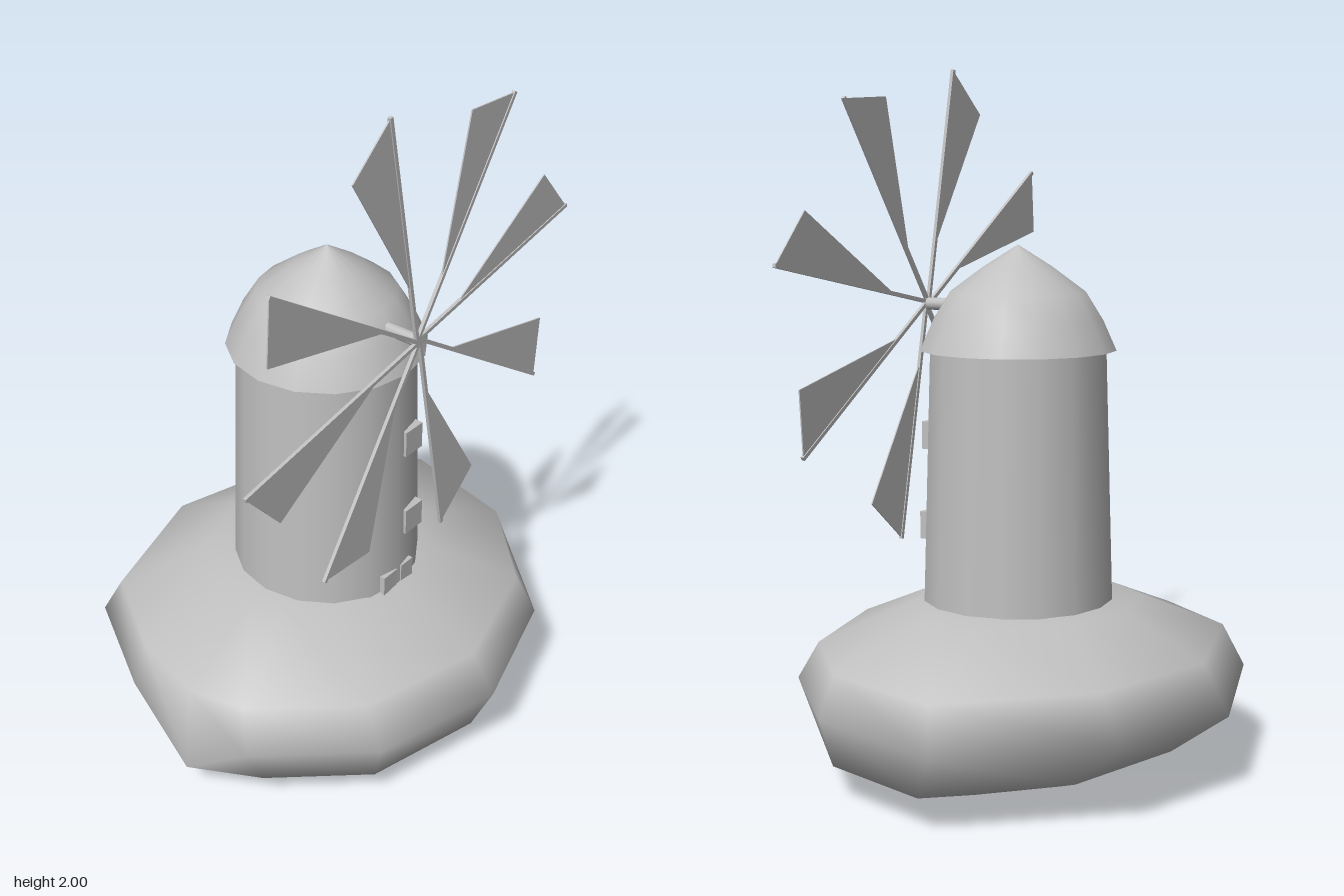
import * as THREE from 'three';

const CX = -0.012, CZ = 0.012; // axis of the tower
const HUB = new THREE.Vector3(-0.011, 1.322, 0.325);

// Boulder: one irregular outline, scaled into stacked rings
function boulderGeometry() {
  const outline = [ // x, y, z
    [0.69, 0.24, -0.163], [0.613, 0.25, 0.248], [0.372, 0.26, 0.519], [-0.01, 0.26, 0.637],
    [-0.39, 0.25, 0.53], [-0.63, 0.23, 0.244], [-0.68, 0.105, 0.056], [-0.624, 0.23, -0.204],
    [-0.461, 0.25, -0.5], [-0.05, 0.23, -0.645], [0.354, 0.24, -0.526],
  ];
  const rings = [ // scale x, offset x, scale z, offset z, height (null = outline height)
    [0.5, 0.0, 0.49, -0.02, 0.487],
    [0.95, 0.0, 0.88, 0.0, 0.37],
    [1, 0, 1, 0, null],
    [0.9, 0.0, 0.81, 0.05, 0.1],
    [0.54, -0.04, 0.46, 0.01, 0.012],
  ];
  const n = outline.length, pos = [], idx = [];
  for (const [sx, ox, sz, oz, h] of rings)
    for (const [x, y, z] of outline) {
      const low = h === 0.1 && y < 0.2 ? 0.07 : h;
      pos.push(x * sx + ox, h === null ? y : low, z * sz + oz);
    }
  const top = pos.length / 3, bottom = top + 1;
  pos.push(0, 0.5, 0, -0.04, 0, 0);
  const last = (rings.length - 1) * n;
  for (let i = 0; i < n; i++) {
    const j = (i + 1) % n;
    idx.push(top, j, i, bottom, last + i, last + j);
    for (let r = 0; r < rings.length - 1; r++) {
      const a = r * n + i, b = r * n + j, c = b + n, d = a + n;
      idx.push(a, b, d, b, c, d);
    }
  }
  const g = new THREE.BufferGeometry();
  g.setAttribute('position', new THREE.Float32BufferAttribute(pos, 3));
  g.setIndex(idx);
  g.computeVertexNormals();
  return g;
}

export function createModel() {
  const stone = new THREE.MeshStandardMaterial({ color: 0xc0c0c0 });
  stone.name = 'pale grey';
  const model = new THREE.Group();
  model.name = 'windmill';
  const add = (name, geometry, x = 0, y = 0, z = 0, parent = model) => {
    const mesh = new THREE.Mesh(geometry, stone);
    mesh.name = name;
    mesh.position.set(x, y, z);
    parent.add(mesh);
    return mesh;
  };

  add('boulder', boulderGeometry());

  // Tapered tower
  add('tower', new THREE.CylinderGeometry(0.252, 0.276, 0.8, 16), CX, 0.82, CZ);

  // Domed cap with a pointed top and a flat eave
  const profile = [[0.281, 1.205], [0.243, 1.29], [0.195, 1.367], [0.1, 1.437], [0, 1.5]];
  add('roof', new THREE.LatheGeometry(profile.map(([r, y]) => new THREE.Vector2(r, y)), 16), CX, 0, CZ);
  add('eave', new THREE.RingGeometry(0.24, 0.281, 16, 1).rotateX(Math.PI / 2), CX, 1.205, CZ);

  // Windows and door panels standing just proud of the wall
  const panels = [
    ['upperWindow', 0.055, 0.95, 0.072, 0.08, 0.275],
    ['lowerWindow', 0.055, 0.685, 0.074, 0.08, 0.283],
    ['doorPanelRight', -0.051, 0.5, 0.058, 0.085, 0.287],
    ['doorPanelLeft', 0.024, 0.5, 0.052, 0.085, 0.287],
  ];
  for (const [name, x, y, w, h, front] of panels)
    add(name, new THREE.BoxGeometry(w, h, 0.06), x, y, front - 0.03);

  // Axle
  add('axle', new THREE.CylinderGeometry(0.018, 0.018, 0.2, 10).rotateX(Math.PI / 2), HUB.x, HUB.y, HUB.z - 0.1);

  // Eight sails: a spar along x and a triangular vane beside it
  const R = 0.69, SHORT = 0.617, SPREAD = 0.272;
  const vane = new THREE.Shape([
    new THREE.Vector2(0.155, 0),
    new THREE.Vector2(R, 0),
    new THREE.Vector2(SHORT * Math.cos(SPREAD), SHORT * Math.sin(SPREAD)),
  ]);
  const vaneGeometry = new THREE.ExtrudeGeometry(vane, { depth: 0.004, bevelEnabled: false }).translate(0, 0, -0.002);
  const sparGeometry = new THREE.BoxGeometry(R, 0.011, 0.01).translate(R / 2, 0.005, 0);
  const wheel = new THREE.Group();
  wheel.name = 'sailWheel';
  wheel.position.copy(HUB);
  model.add(wheel);
  for (let i = 0; i < 8; i++) {
    const sail = new THREE.Group();
    sail.name = 'sail' + (i + 1);
    sail.rotation.z = THREE.MathUtils.degToRad(11.3 + 45 * i);
    add('spar', sparGeometry, 0, 0, 0, sail);
    add('vane', vaneGeometry, 0, 0, 0, sail);
    wheel.add(sail);
  }
  return model;
}
